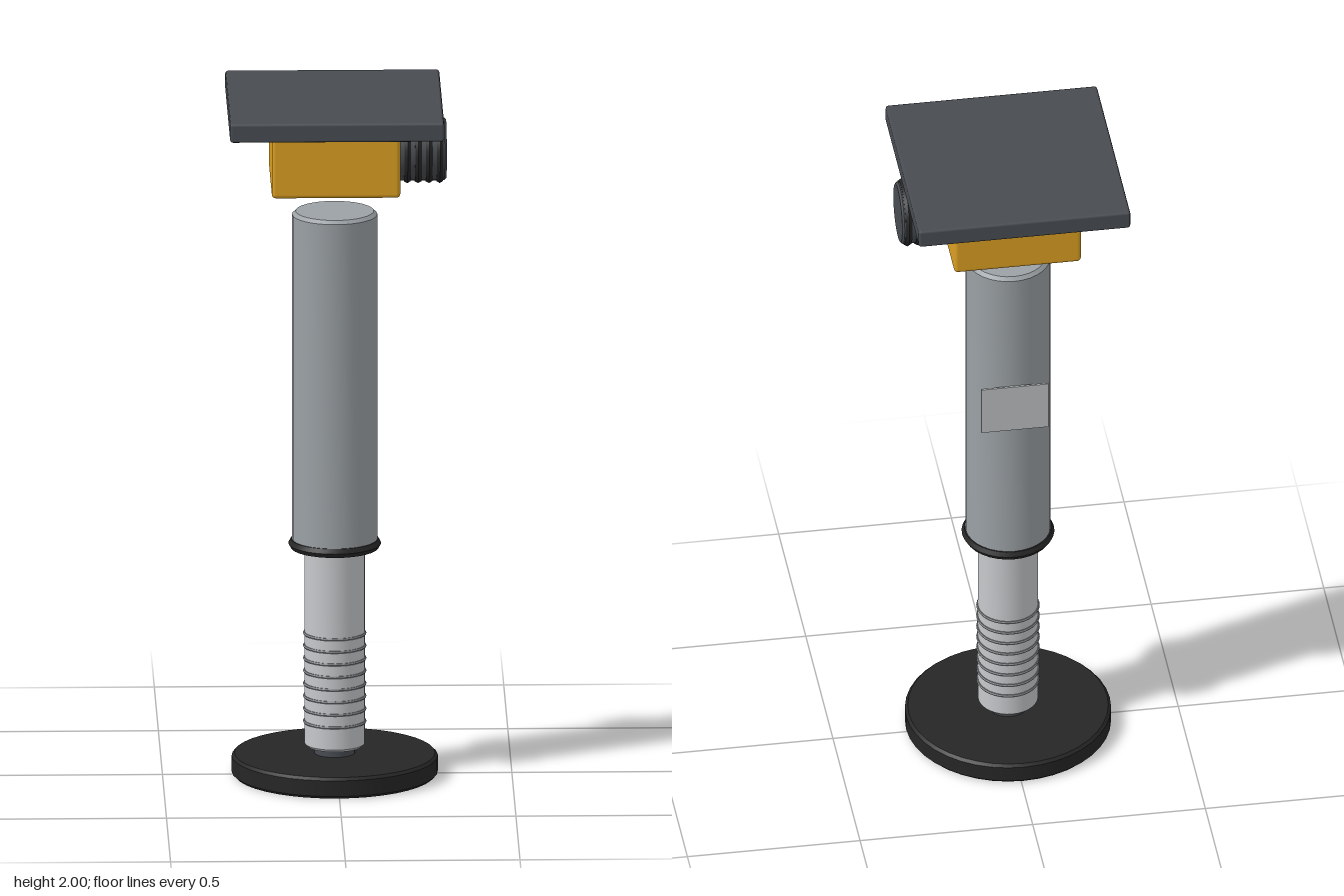
import * as THREE from 'three';
import { toCreasedNormals } from 'three/addons/utils/BufferGeometryUtils.js';
import { RoundedBoxGeometry } from 'three/addons/geometries/RoundedBoxGeometry.js';

const material = (name, color, side = THREE.FrontSide) => {
  const m = new THREE.MeshStandardMaterial({ color, side });
  m.name = name;
  return m;
};

// Chamfered solid of revolution standing between y0 and y1
function turned(radius, y0, y1, c, segments = 32) {
  const points = [[0, y0], [radius - c, y0], [radius, y0 + c], [radius, y1 - c], [radius - c, y1], [0, y1]]
    .map(([r, y]) => new THREE.Vector2(r, y));
  return toCreasedNormals(new THREE.LatheGeometry(points, segments), 0.5);
}

export function createModel() {
  const group = new THREE.Group();
  group.name = 'supportJack';
  const axis = new THREE.Group();
  axis.name = 'jackBody';
  axis.position.x = -0.007;
  group.add(axis);

  const slate = material('slate', 0x484c52);
  const yellow = material('yellow', 0xdb9f22);
  const steel = material('steel', 0x9ba1a5);
  const chrome = material('chrome', 0xc6c8cb);
  const rubber = material('rubber', 0x262626);
  const groove = material('grooveGrey', 0x85888b);
  const label = material('labelGrey', 0xbcbec0, THREE.DoubleSide);

  const add = (name, geometry, mat, x = 0, y = 0, z = 0) => {
    const mesh = new THREE.Mesh(geometry, mat);
    mesh.name = name;
    mesh.position.set(x, y, z);
    axis.add(mesh);
    return mesh;
  };
  const ring = (name, major, minor, mat, y) => {
    const mesh = add(name, toCreasedNormals(new THREE.TorusGeometry(major, minor, 6, 32), 0.5), mat, 0, y);
    mesh.rotation.x = Math.PI / 2;
  };

  // Foot and ankle
  add('foot', turned(0.295, 0, 0.062, 0.008, 40), rubber);
  add('ankle', new THREE.CylinderGeometry(0.058, 0.058, 0.04, 24), slate, 0, 0.073);

  // Inner rod with its stack of thin rings
  add('innerRod', turned(0.086, 0.083, 0.76, 0.008), chrome);
  for (let i = 0; i < 8; i++) ring('rodRing', 0.086, 0.005, groove, 0.156 + i * 0.0372);

  // Outer tube, lower seal and rear label plate
  add('outerTube', turned(0.122, 0.685, 1.663, 0.01), steel);
  ring('tubeSeal', 0.118, 0.015, rubber, 0.682);
  add('labelPlate', new THREE.BoxGeometry(0.195, 0.152, 0.006), label, 0, 1.207, -0.126);

  // Head block and top plate
  add('headBlock', new RoundedBoxGeometry(0.368, 0.198, 0.368, 2, 0.012), yellow, 0, 1.844);
  add('topPlate', new RoundedBoxGeometry(0.613, 0.056, 0.624, 1, 0.008), slate, 0, 1.972);

  // Bolts beneath the top plate
  for (let i = 0; i < 6; i++) {
    const a = i * Math.PI / 3;
    add('plateBolt', new THREE.CylinderGeometry(0.01, 0.01, 0.03, 10), steel,
      0.24 * Math.cos(a), 1.944, 0.24 * Math.sin(a));
  }

  // Ribbed knob on the side of the head
  const knob = add('knob', turned(0.09, 0, 0.145, 0.006), slate, 0.174, 1.844);
  knob.rotation.z = -Math.PI / 2;
  for (let i = 0; i < 4; i++) {
    const rib = add('knobRib', toCreasedNormals(new THREE.TorusGeometry(0.087, 0.011, 6, 32), 0.5),
      rubber, 0.207 + i * 0.031, 1.844);
    rib.rotation.y = Math.PI / 2;
  }
  return group;
}
